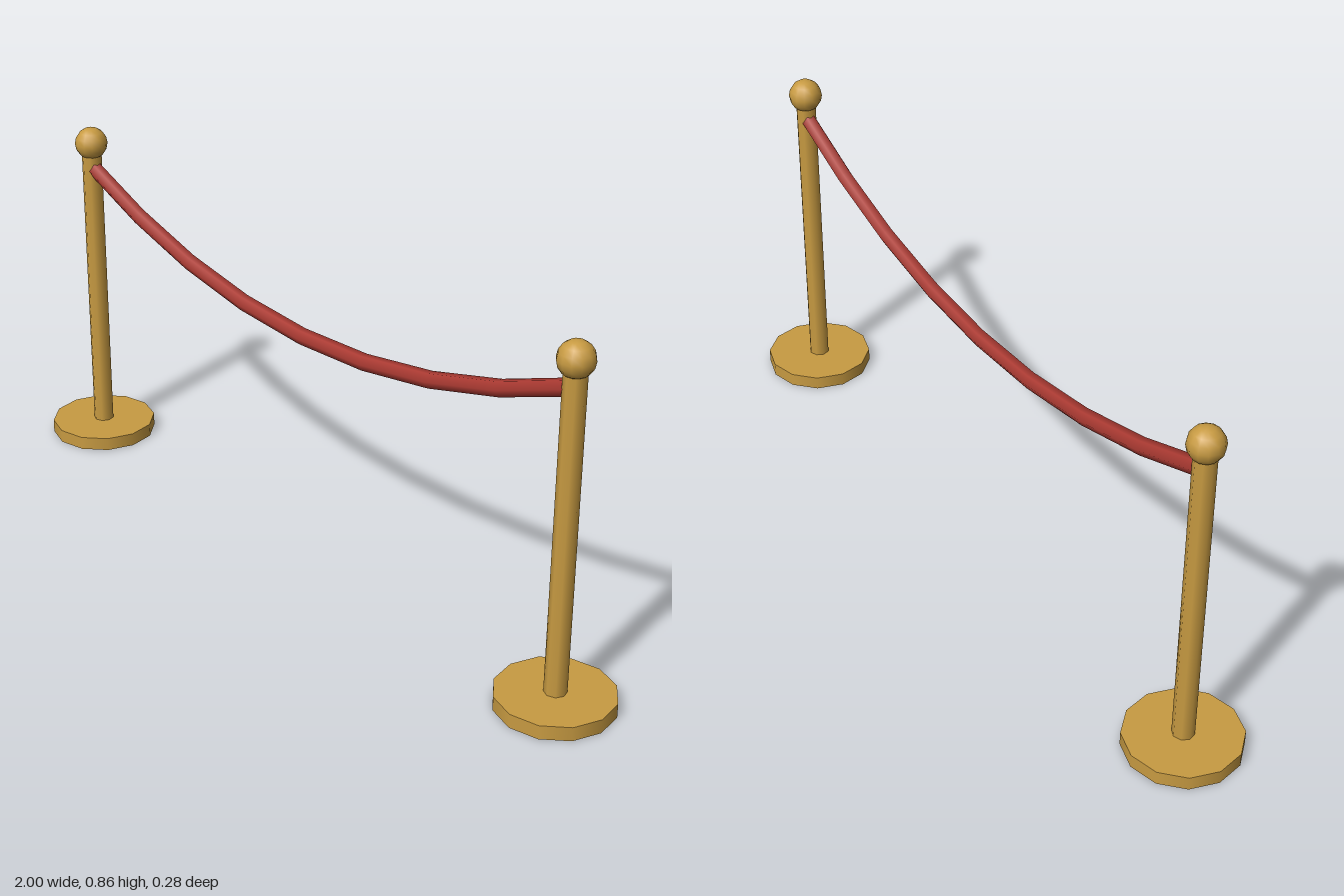
import * as THREE from 'three';

export function createModel() {
  const model = new THREE.Group();
  model.name = 'ropeBarrier';

  const brass = new THREE.MeshStandardMaterial({ color: 0xc89b42 });
  brass.name = 'brass';
  const red = new THREE.MeshStandardMaterial({ color: 0xab3a32 });
  red.name = 'red velvet';

  const postX = 0.8625;
  const add = (parent, name, geometry, material, y = 0) => {
    const mesh = new THREE.Mesh(geometry, material);
    mesh.name = name;
    mesh.position.y = y;
    parent.add(mesh);
  };

  // Two matching stanchions: disc base, slim post, ball finial
  for (const [name, side] of [['leftStanchion', 1], ['rightStanchion', -1]]) {
    const stanchion = new THREE.Group();
    stanchion.name = name;
    stanchion.position.x = side * postX;
    add(stanchion, 'base', new THREE.CylinderGeometry(0.1375, 0.1375, 0.034, 12), brass, 0.017);
    add(stanchion, 'post', new THREE.CylinderGeometry(0.026, 0.026, 0.766, 8), brass, 0.417);
    add(stanchion, 'finial', new THREE.SphereGeometry(0.042, 12, 8), brass, 0.82);
    model.add(stanchion);
  }

  // Sagging six-sided rope, ending inside the posts
  const curve = new THREE.QuadraticBezierCurve3(
    new THREE.Vector3(-postX, 0.758, 0),
    new THREE.Vector3(0, 0.386, 0),
    new THREE.Vector3(postX, 0.758, 0)
  );
  add(model, 'rope', new THREE.TubeGeometry(curve, 8, 0.02, 6, false), red);

  return model;
}
